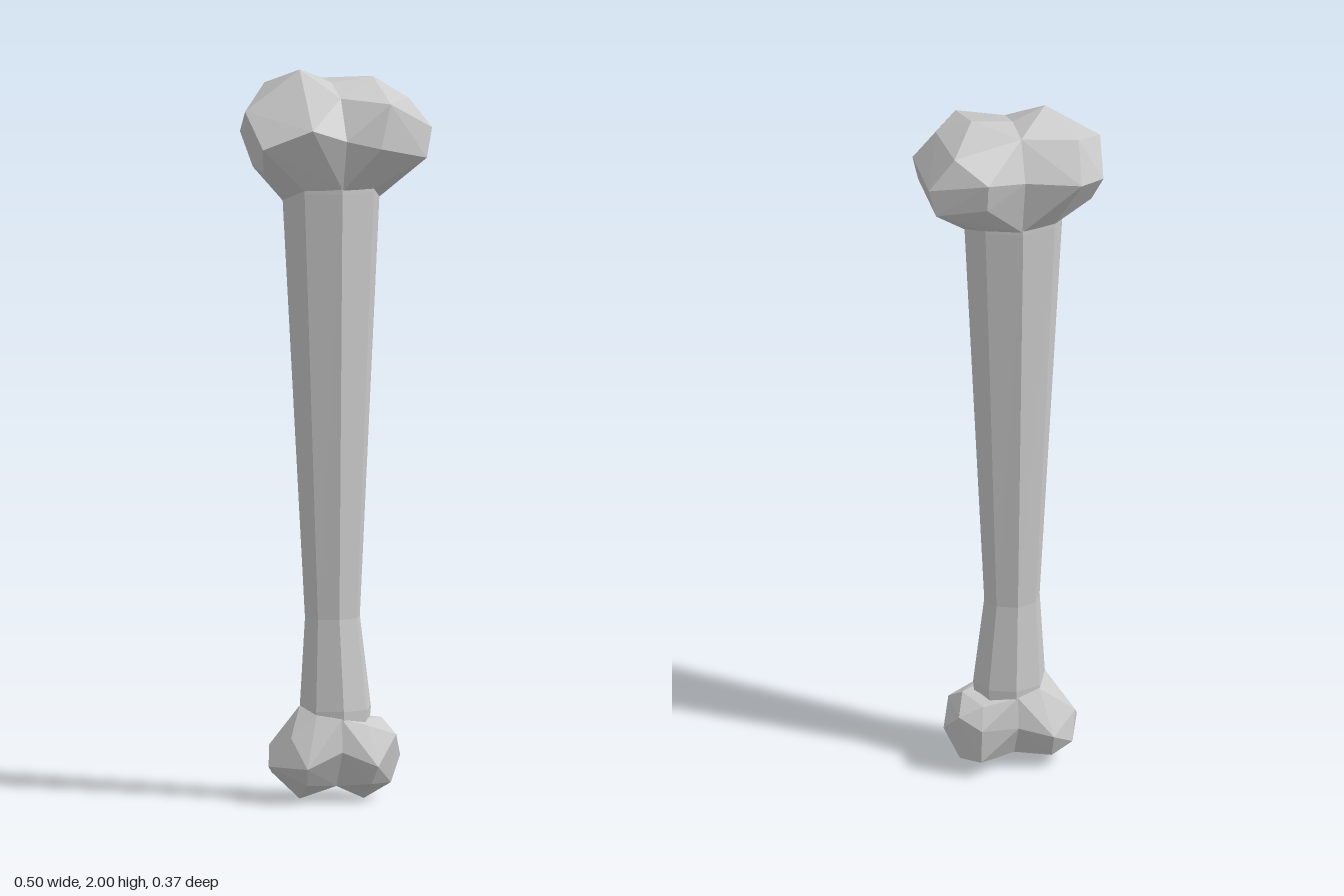
import * as THREE from 'three';
import { ConvexGeometry } from 'three/addons/geometries/ConvexGeometry.js';

const material = new THREE.MeshStandardMaterial({ color: 0xcccccc, flatShading: true });

// Eight-sided shaft: each ring is [y, centre x, radius x, radius z]
function shaftGeometry(rings, sides = 8) {
  const pos = [], index = [];
  for (const [y, cx, rx, rz] of rings) {
    for (let i = 0; i < sides; i++) {
      const a = (i / sides) * Math.PI * 2;
      pos.push(cx + rx * Math.cos(a), y, rz * Math.sin(a));
    }
  }
  for (let r = 0; r < rings.length - 1; r++) {
    for (let i = 0; i < sides; i++) {
      const a = r * sides + i, b = r * sides + (i + 1) % sides;
      index.push(a, a + sides, b, b, a + sides, b + sides);
    }
  }
  const g = new THREE.BufferGeometry();
  g.setAttribute('position', new THREE.Float32BufferAttribute(pos, 3));
  g.setIndex(index);
  g.computeVertexNormals();
  return g;
}

// Faceted knuckle, hulled from its own corners and the shared groove section
function lobe(name, groove, corners) {
  const points = [...groove, ...corners].map((p) => new THREE.Vector3(...p));
  const mesh = new THREE.Mesh(new ConvexGeometry(points), material);
  mesh.name = name;
  return mesh;
}

export function createModel() {
  const bone = new THREE.Group();
  bone.name = 'bone';

  const shaft = new THREE.Mesh(shaftGeometry([
    [0.14, 0, 0.09, 0.085],
    [0.25, 0, 0.1, 0.09],
    [0.5, -0.008, 0.077, 0.073],
    [1.67, -0.012, 0.137, 0.12],
    [1.76, -0.012, 0.14, 0.12],
  ]), material);
  shaft.name = 'shaft';
  bone.add(shaft);

  // Upper head: two lobes meeting at a shallow groove
  const upperGroove = [
    [-0.01, 1.82, 0.16], [-0.01, 1.93, 0.095], [-0.01, 1.96, 0], [-0.01, 1.96, -0.105],
    [-0.01, 1.85, -0.155], [-0.01, 1.68, 0.118], [-0.01, 1.68, -0.118],
  ];
  const upperHead = new THREE.Group();
  upperHead.name = 'upperHead';
  upperHead.add(
    lobe('upperRightLobe', upperGroove, [
      [-0.1, 2, 0], [-0.165, 1.95, -0.125], [-0.253, 1.89, 0],
      [-0.235, 1.8, 0.12], [-0.235, 1.82, -0.12],
      [-0.11, 1.855, 0.175], [-0.16, 1.84, -0.185],
      [-0.215, 1.73, 0.05], [-0.215, 1.73, -0.06],
      [-0.149, 1.645, 0], [-0.109, 1.68, 0.087], [-0.109, 1.68, -0.087],
    ]),
    lobe('upperLeftLobe', upperGroove, [
      [0.105, 1.975, 0], [0.18, 1.93, -0.125], [0.19, 1.92, 0.06],
      [0.25, 1.84, 0.08], [0.25, 1.84, -0.12], [0.23, 1.76, 0.1], [0.23, 1.76, -0.12],
      [0.11, 1.92, 0.17], [0.08, 1.8, 0.185], [0.1, 1.87, -0.187], [0.1, 1.79, -0.175],
      [0.16, 1.7, 0], [0.125, 1.645, 0], [0.086, 1.68, 0.087], [0.086, 1.68, -0.087],
    ]),
  );
  bone.add(upperHead);

  // Lower head: two smaller lobes with a groove underneath
  const lowerGroove = [
    [-0.005, 0.14, 0.095], [-0.005, 0.04, 0.03], [-0.005, 0.04, -0.04],
    [-0.005, 0.14, -0.095], [-0.005, 0.23, 0.088], [-0.005, 0.23, -0.088],
  ];
  const lowerHead = new THREE.Group();
  lowerHead.name = 'lowerHead';
  lowerHead.add(
    lobe('lowerRightLobe', lowerGroove, [
      [-0.1, 0.005, 0], [-0.195, 0.1, 0.03], [-0.175, 0.15, -0.04], [-0.16, 0.07, -0.07],
      [-0.11, 0.1, 0.12], [-0.1, 0.05, 0.08], [-0.1, 0.11, -0.11], [-0.1, 0.04, -0.08],
      [-0.1, 0.26, 0], [-0.07, 0.24, 0.065], [-0.07, 0.24, -0.065], [-0.14, 0.18, 0.06],
    ]),
    lobe('lowerLeftLobe', lowerGroove, [
      [0.08, 0, 0], [0.148, 0.045, 0.03], [0.148, 0.045, -0.05],
      [0.182, 0.115, 0], [0.155, 0.18, 0.06], [0.155, 0.18, -0.07], [0.13, 0.22, 0],
      [0.09, 0.1, 0.115], [0.08, 0.05, 0.085], [0.1, 0.15, -0.11], [0.1, 0.05, -0.1],
      [0.07, 0.21, 0.08], [0.09, 0.21, -0.08],
    ]),
  );
  bone.add(lowerHead);

  return bone;
}
